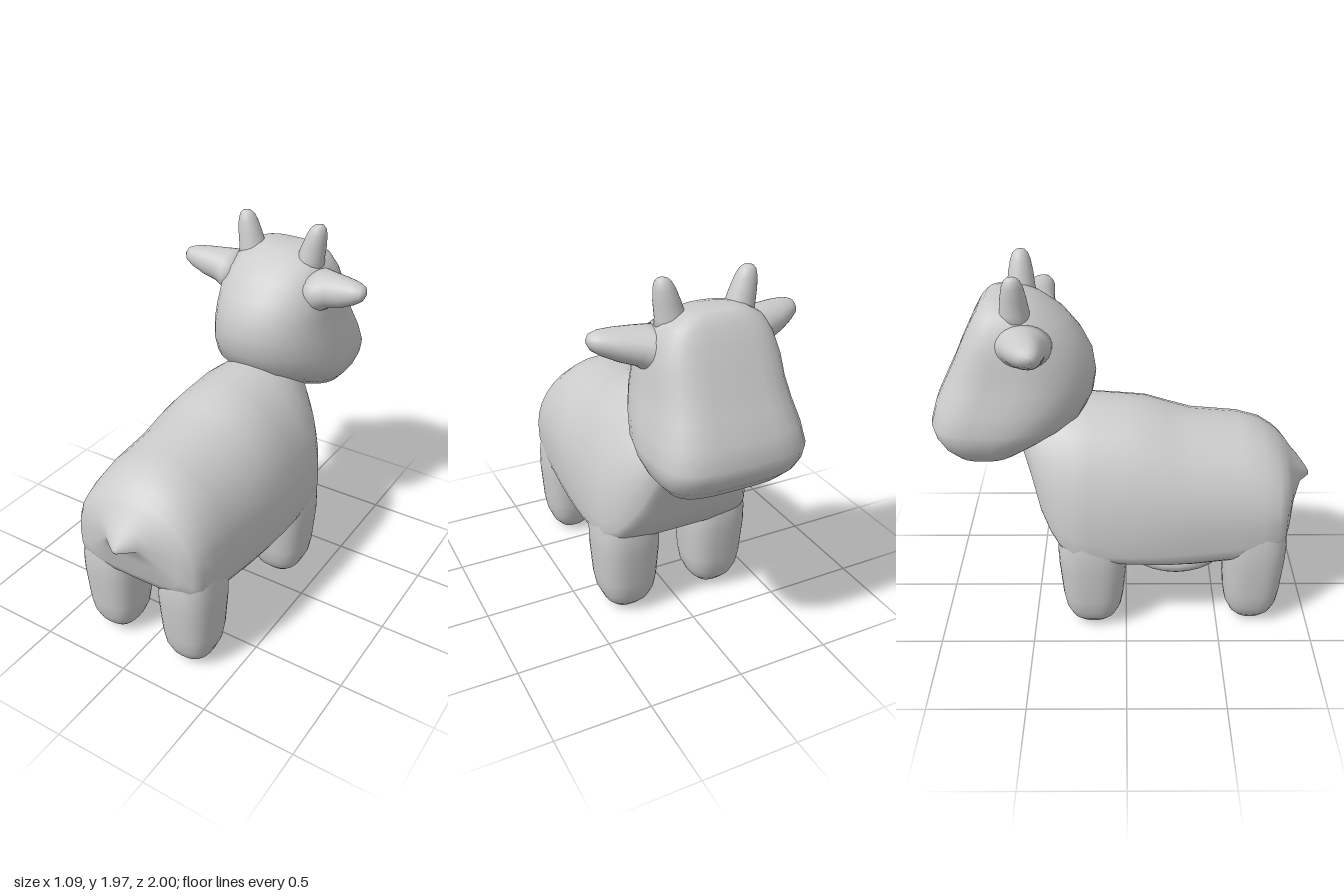
import * as THREE from 'three';

const SEG = 32;
const material = new THREE.MeshStandardMaterial({ color: 0xcccccc });

// Skin over a row of rounded slices. Each slice: [t, halfU, vMin, vMid, vMax, centreU].
// nLow / nHigh set how square the lower and upper half of each slice is.
function loft(name, slices, place, nLow = 2, nHigh = 2) {
  const pos = [], index = [];
  const power = (v, n) => Math.sign(v) * Math.pow(Math.abs(v), 2 / n);
  for (const [t, hu, lo, mid, hi, cu = 0] of slices) {
    for (let i = 0; i < SEG; i++) {
      const a = (i / SEG) * Math.PI * 2, c = Math.cos(a), s = Math.sin(a);
      const n = s < 0 ? nLow : nHigh;
      const u = cu + hu * power(c, n);
      const v = mid + (s < 0 ? mid - lo : hi - mid) * power(s, n);
      pos.push(...place(t, u, v));
    }
  }
  const first = slices[0], last = slices[slices.length - 1];
  for (const [t, , lo, , hi, cu = 0] of [first, last]) pos.push(...place(t, cu, (lo + hi) / 2));

  // Keep faces outward whichever axis and direction the slices run
  const axis = (t, u, v) => new THREE.Vector3(...place(t, u, v));
  const hand = axis(0, 1, 0).cross(axis(0, 0, 1)).dot(axis(1, 0, 0)) * (last[0] - first[0]);
  const tri = (a, b, c) => (hand > 0 ? index.push(a, b, c) : index.push(a, c, b));
  const rows = slices.length, cap = rows * SEG;
  for (let i = 0; i < SEG; i++) {
    const j = (i + 1) % SEG;
    for (let r = 0; r < rows - 1; r++) {
      const a = r * SEG + i, b = r * SEG + j;
      tri(a, b, b + SEG);
      tri(a, b + SEG, a + SEG);
    }
    tri(cap, j, i);
    tri(cap + 1, (rows - 1) * SEG + i, (rows - 1) * SEG + j);
  }
  const geometry = new THREE.BufferGeometry();
  geometry.setAttribute('position', new THREE.Float32BufferAttribute(pos, 3));
  geometry.setIndex(index);
  geometry.computeVertexNormals();
  const mesh = new THREE.Mesh(geometry, material);
  mesh.name = name;
  return mesh;
}

const alongZ = (t, u, v) => [u, v, t];
const alongY = (t, u, v) => [u, t, v];

export function createModel() {
  const model = new THREE.Group();
  model.name = 'calf';

  // Body from the neck to the pointed tail
  model.add(loft('bodyAndTail', [
    [-0.55, 0.12, 0.99, 1.04, 1.1],
    [-0.5, 0.22, 0.86, 0.96, 1.16],
    [-0.45, 0.29, 0.67, 0.82, 1.19],
    [-0.4, 0.345, 0.57, 0.72, 1.21],
    [-0.35, 0.385, 0.5, 0.65, 1.23],
    [-0.28, 0.425, 0.46, 0.61, 1.24],
    [-0.18, 0.438, 0.43, 0.6, 1.245],
    [0, 0.438, 0.4, 0.61, 1.23],
    [0.1, 0.435, 0.39, 0.62, 1.22],
    [0.22, 0.43, 0.38, 0.64, 1.18],
    [0.35, 0.42, 0.38, 0.65, 1.14],
    [0.6, 0.4, 0.4, 0.66, 1.12],
    [0.72, 0.39, 0.44, 0.66, 1.085],
    [0.8, 0.378, 0.48, 0.67, 1.03],
    [0.845, 0.345, 0.5, 0.68, 0.985],
    [0.87, 0.28, 0.55, 0.71, 0.955],
    [0.9, 0.18, 0.67, 0.76, 0.915],
    [0.94, 0.1, 0.765, 0.8, 0.87],
    [0.985, 0.035, 0.765, 0.78, 0.81],
    [1.0, 0.012, 0.765, 0.775, 0.785],
  ], alongZ, 4.5, 2));

  // Head: round at the back, square at the muzzle (low v is the muzzle)
  model.add(loft('head', [
    [1.825, 0.11, -0.67, -0.6, -0.53],
    [1.81, 0.17, -0.7, -0.59, -0.47],
    [1.77, 0.24, -0.735, -0.57, -0.4],
    [1.7, 0.285, -0.775, -0.55, -0.3],
    [1.6, 0.315, -0.825, -0.53, -0.22],
    [1.5, 0.325, -0.87, -0.53, -0.17],
    [1.4, 0.345, -0.92, -0.55, -0.155],
    [1.3, 0.37, -0.97, -0.6, -0.17],
    [1.2, 0.385, -1.0, -0.65, -0.22],
    [1.14, 0.375, -0.985, -0.67, -0.3],
    [1.08, 0.35, -0.95, -0.69, -0.4],
    [1.02, 0.3, -0.89, -0.7, -0.51],
    [0.99, 0.23, -0.81, -0.7, -0.58],
    [0.98, 0.14, -0.76, -0.7, -0.64],
  ], alongY, 3.7, 2.1));

  // Shallow belly bulge
  const belly = new THREE.Mesh(new THREE.SphereGeometry(1, 28, 18), material);
  belly.name = 'belly';
  belly.scale.set(0.34, 0.13, 0.32);
  belly.position.set(0, 0.38, 0.27);
  model.add(belly);

  for (const [sideName, side] of [['left', 1], ['right', -1]]) {
    // Legs: slices are [height, width factor, depth factor], rounded at the foot
    const leg = (name, x, z, w, d) => loft(name,
      [[0.72, 0.75, 0.8], [0.6, 0.92, 0.95], [0.5, 0.99, 1.04], [0.4, 1, 1.02], [0.2, 0.92, 0.92],
        [0.12, 0.84, 0.84], [0.06, 0.68, 0.68], [0.02, 0.46, 0.46], [0.005, 0.22, 0.22]]
        .map(([y, kw, kd]) => [y, w * kw, z - d * kd, z, z + d * kd, side * x]),
      alongY, 2.6, 2.6);
    model.add(leg(sideName + 'FrontLeg', 0.262, -0.18, 0.178, 0.18));
    model.add(leg(sideName + 'BackLeg', 0.238, 0.69, 0.16, 0.17));

    // Ears are broad at the root, point sideways and sweep slightly back
    model.add(loft(sideName + 'Ear', [
      [0.2, 0.12, -0.68, -0.52, -0.35, 1.62],
      [0.28, 0.113, -0.64, -0.5, -0.365, 1.63],
      [0.34, 0.092, -0.605, -0.48, -0.38, 1.652],
      [0.42, 0.079, -0.57, -0.46, -0.385, 1.665],
      [0.49, 0.06, -0.53, -0.45, -0.39, 1.68],
      [0.53, 0.04, -0.5, -0.445, -0.405, 1.687],
      [0.545, 0.018, -0.47, -0.445, -0.425, 1.69],
    ], (t, u, v) => [side * t, u, v]));

    // Stubby blunt horns leaning outward
    model.add(loft(sideName + 'Horn',
      [[1.7, 0.09, 0.165], [1.78, 0.074, 0.178], [1.86, 0.064, 0.197], [1.92, 0.052, 0.21],
        [1.95, 0.04, 0.216], [1.965, 0.026, 0.219], [1.97, 0.012, 0.22]]
        .map(([y, r, x]) => [y, r, -0.54 - r, -0.54, -0.54 + r, side * x]),
      alongY));
  }
  return model;
}
